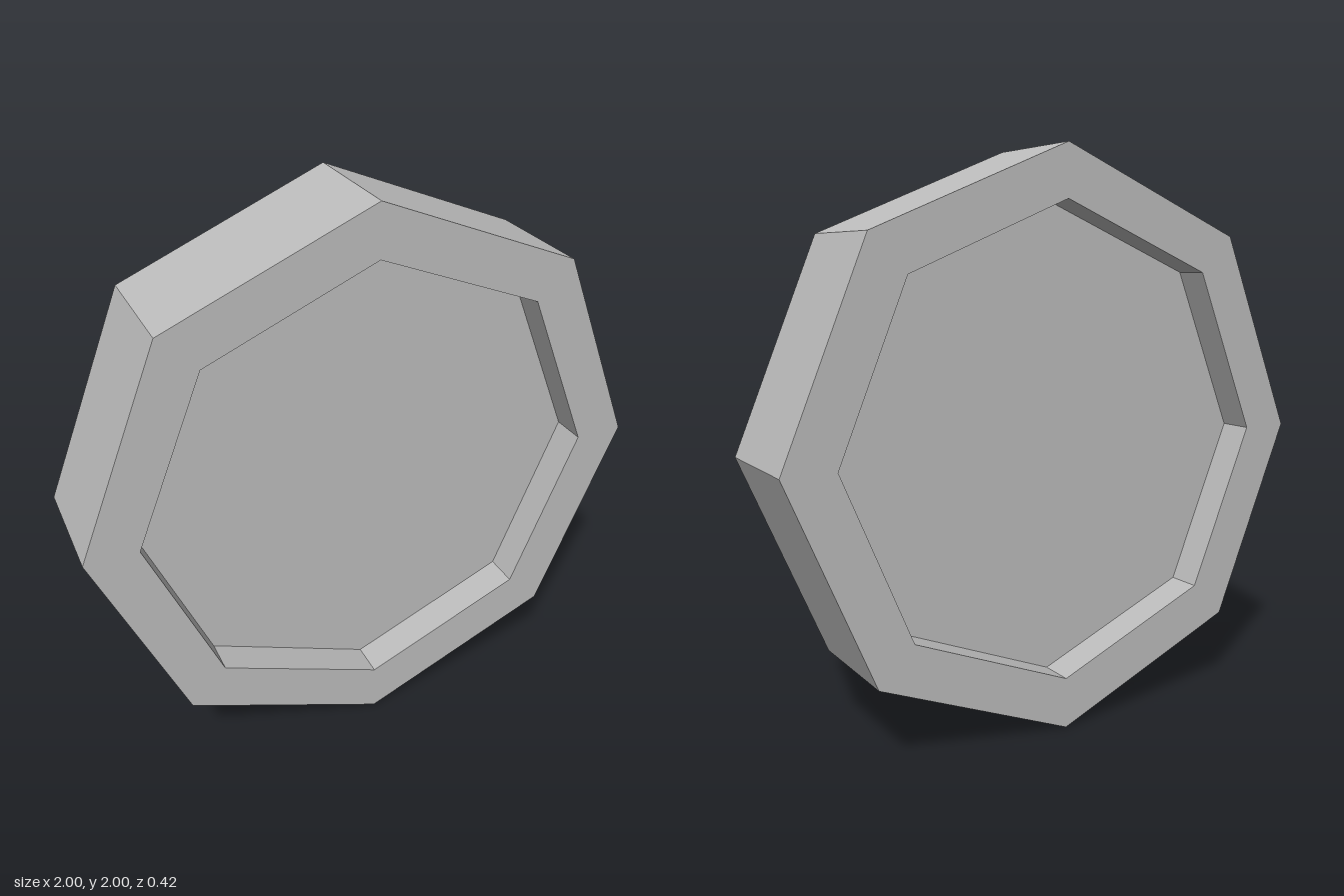
import * as THREE from 'three';

const SIDES = 8;
const OUTER = 1;        // outer corner radius
const INNER = 0.82;     // corner radius of the recess
const HALF = 0.21;      // half thickness of the rim
const PANEL = 0.085;    // half thickness of the sunken panel

export function createModel() {
  const grey = new THREE.MeshStandardMaterial({ color: 0xbcbcbc, flatShading: true });
  grey.name = 'grey';

  const model = new THREE.Group();
  model.name = 'octagonalDisc';

  const add = (name, geometry, z = 0) => {
    const mesh = new THREE.Mesh(geometry, grey);
    mesh.name = name;
    mesh.position.set(0, OUTER, z);
    model.add(mesh);
  };

  // Rim: cross-section swept around the z axis, with the walls of both recesses
  const profile = [
    [INNER, -PANEL], [INNER, -HALF], [OUTER, -HALF],
    [OUTER, HALF], [INNER, HALF], [INNER, PANEL],
  ].map(([r, d]) => new THREE.Vector2(r, d));
  add('rim', new THREE.LatheGeometry(profile, SIDES).rotateX(Math.PI / 2));

  // Sunken panels, front and back
  add('frontPanel', new THREE.CircleGeometry(INNER, SIDES), PANEL);
  add('backPanel', new THREE.CircleGeometry(INNER, SIDES).rotateY(Math.PI), -PANEL);

  return model;
}
